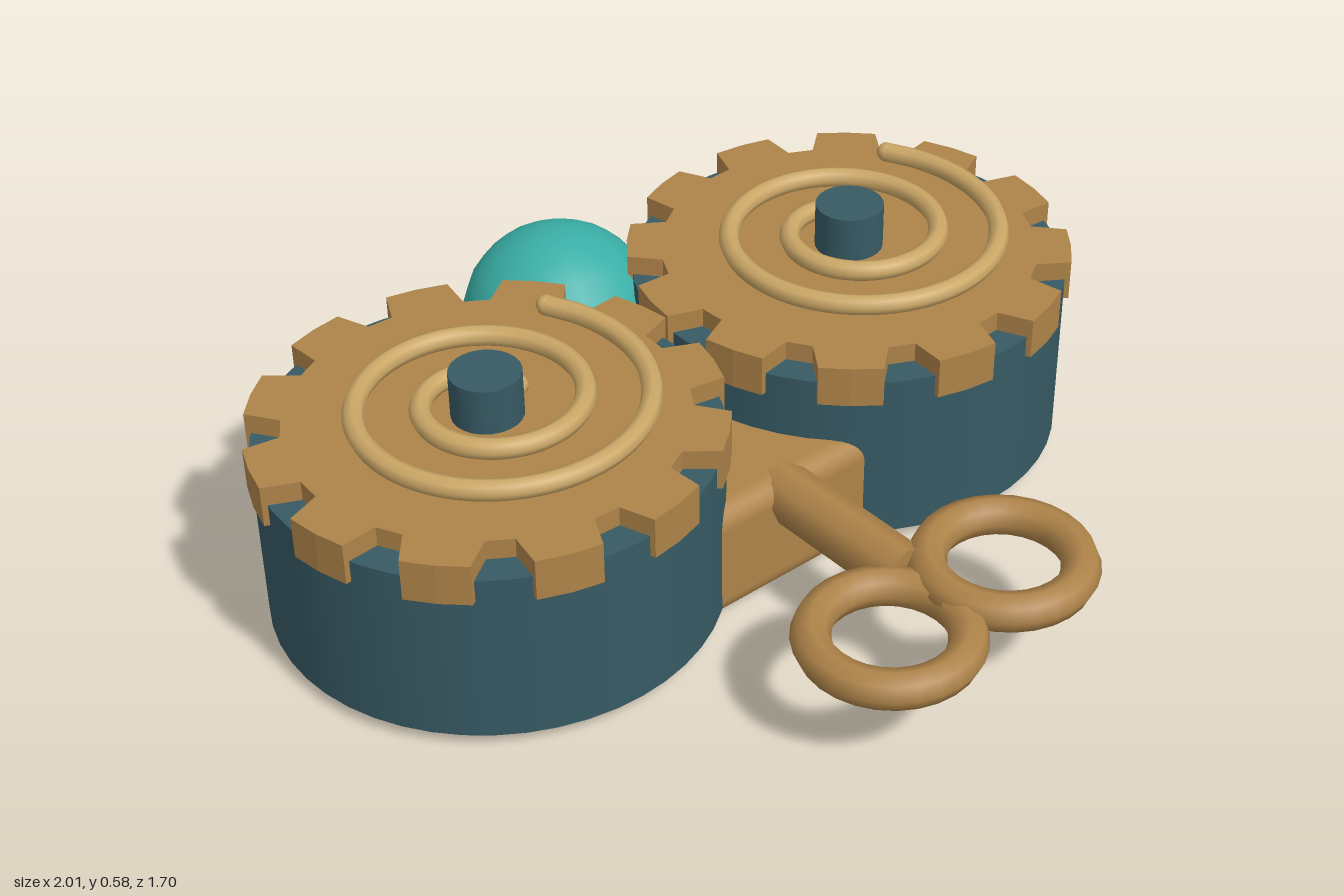
import * as THREE from 'three';
import { RoundedBoxGeometry } from 'three/addons/geometries/RoundedBoxGeometry.js';

const mat = (name, color) => {
  const m = new THREE.MeshStandardMaterial({ color });
  m.name = name;
  return m;
};

// Cog outline with twelve tapered notches, turned by a small angle
function cogShape(offset) {
  const pts = [];
  const add = (deg, r) => {
    const a = THREE.MathUtils.degToRad(deg + offset);
    pts.push(new THREE.Vector2(r * Math.cos(a), r * Math.sin(a)));
  };
  for (let i = 0; i < 12; i++) {
    const c = i * 30;
    add(c - 7, 0.503);
    add(c - 4, 0.425);
    add(c + 4, 0.425);
    add(c + 7, 0.503);
    add(c + 15, 0.503);
  }
  return new THREE.Shape(pts);
}

// Flat spiral that widens over a little more than two turns
function spiralCurve() {
  const pts = [];
  const n = 60, end = 13.15;
  for (let i = 0; i <= n; i++) {
    const t = (i / n) * end;
    const r = 0.08 + 0.0218 * t;
    pts.push(new THREE.Vector3(r * Math.cos(t), 0, -r * Math.sin(t)));
  }
  return new THREE.CatmullRomCurve3(pts);
}

export function createModel() {
  const model = new THREE.Group();
  const slate = mat('dark slate', 0x375a64);
  const bronze = mat('bronze', 0xae8349);
  const gold = mat('pale gold', 0xcba766);
  const teal = mat('teal', 0x3aafa7);

  const add = (parent, name, geometry, material, x, y, z) => {
    const m = new THREE.Mesh(geometry, material);
    m.name = name;
    m.position.set(x, y, z);
    parent.add(m);
    return m;
  };

  // Base block joining the two drums
  add(model, 'base', new RoundedBoxGeometry(1.33, 0.28, 0.77, 3, 0.05), bronze, 0, 0.14, -0.2);

  // Drums, each with a cog, a spiral spring and a centre peg
  const spring = new THREE.TubeGeometry(spiralCurve(), 160, 0.023, 8);
  for (const side of [-1, 1]) {
    const drum = new THREE.Group();
    drum.name = side > 0 ? 'leftDrum' : 'rightDrum';
    drum.position.set(side * 0.505, 0, -0.203);
    model.add(drum);

    add(drum, 'drumBody', new THREE.CylinderGeometry(0.492, 0.492, 0.4, 48), slate, 0, 0.23, 0);

    const cogGeometry = new THREE.ExtrudeGeometry(cogShape(side * 3), { depth: 0.095, bevelEnabled: false });
    cogGeometry.rotateX(-Math.PI / 2);
    add(drum, 'cog', cogGeometry, bronze, 0, 0.38, 0);

    add(drum, 'spring', spring, gold, 0, 0.508, 0);
    for (const t of [0, 13.15]) {
      const r = 0.08 + 0.0218 * t;
      add(drum, 'springEnd', new THREE.SphereGeometry(0.023, 8, 6), gold,
        r * Math.cos(t), 0.508, -r * Math.sin(t));
    }

    add(drum, 'peg', new THREE.CylinderGeometry(0.077, 0.077, 0.11, 24), slate, 0, 0.525, 0);
  }

  // Ball at the back
  add(model, 'ball', new THREE.SphereGeometry(0.227, 20, 14), teal, 0, 0.28, -0.627);

  // Winding key: stem and two rings
  const key = new THREE.Group();
  key.name = 'key';
  model.add(key);
  const stem = new THREE.CylinderGeometry(0.064, 0.064, 0.4, 8);
  stem.rotateX(Math.PI / 2);
  add(key, 'keyStem', stem, bronze, 0, 0.228, 0.33);
  const ring = new THREE.TorusGeometry(0.158, 0.042, 8, 28);
  ring.rotateX(Math.PI / 2);
  for (const side of [-1, 1]) {
    add(key, 'keyRing', ring, bronze, side * 0.16, 0.242 + side * 0.01, 0.648);
  }

  return model;
}
